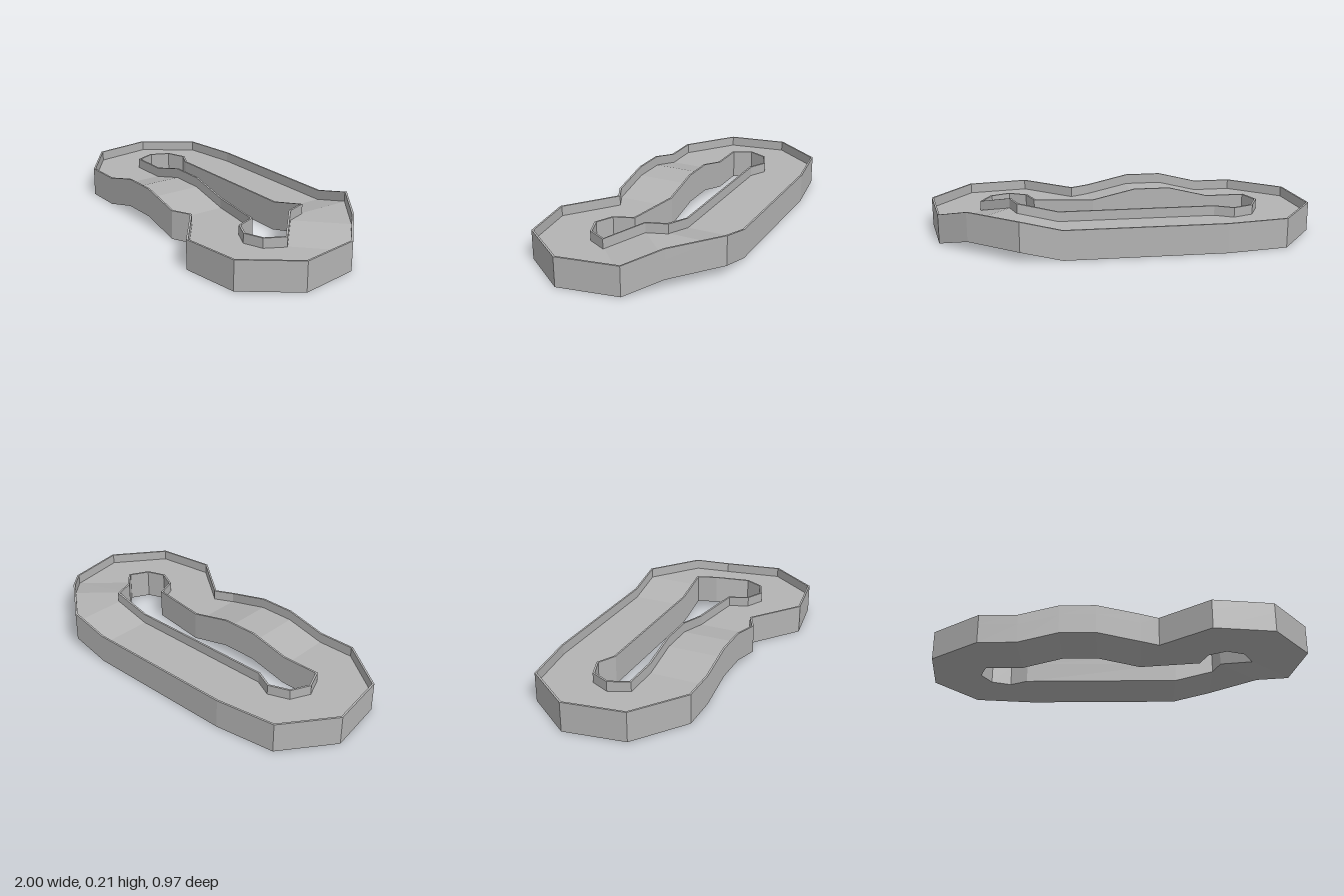
import * as THREE from 'three';

// Stations round the loop: outer x, z, inner x, z, lift (0 = on the ground, 1 = raised)
const STATIONS = [
  [-0.69, 0.335, -0.69, 0.018, 0],
  [-0.49, 0.335, -0.49, 0.018, 0],
  [-0.28, 0.335, -0.28, 0.018, 1],
  [-0.09, 0.335, -0.09, 0.018, 1],
  [0.135, 0.335, 0.135, 0.018, 0],
  [0.23, 0.288, 0.45, 0.062, 0],
  [0.485, 0.483, 0.49, 0.165, 0],
  [0.8, 0.44, 0.58, 0.208, 0],
  [1, 0.179, 0.675, 0.172, 0],
  [0.95, -0.142, 0.725, 0.078, 0],
  [0.8, -0.288, 0.575, -0.065, 1],
  [0.545, -0.483, 0.54, -0.167, 1],
  [0.335, -0.483, 0.335, -0.167, 0],
  [-0.49, -0.483, -0.49, -0.167, 0],
  [-0.805, -0.44, -0.585, -0.213, 0],
  [-1, -0.18, -0.685, -0.175, 0],
  [-0.955, 0.14, -0.73, -0.08, 0],
];
const FLOOR = 0.103, TOP = 0.155, LIFT = 0.052, RAIL = 0.01;

// Moves a closed path sideways by t with mitred corners
function offsetPath(path, t) {
  const n = path.length;
  const normal = (a, b) => new THREE.Vector2(b.y - a.y, a.x - b.x).normalize();
  return path.map((p, i) => {
    const n1 = normal(path[(i + n - 1) % n], p);
    const n2 = normal(p, path[(i + 1) % n]);
    const scale = t / (1 + n1.dot(n2));
    return p.clone().add(n1.add(n2).multiplyScalar(scale));
  });
}

// Joins edges [path, height] into a flat-faced ring following the lift
function sweep(name, edges, closed, material) {
  const n = STATIONS.length, pos = [];
  const put = (i, k) => {
    const [path, y] = edges[k % edges.length];
    const s = i % n;
    pos.push(path[s].x, y + STATIONS[s][4] * LIFT, path[s].y);
  };
  for (let i = 0; i < n; i++) {
    for (let k = 0; k < edges.length - (closed ? 0 : 1); k++) {
      put(i, k); put(i + 1, k); put(i + 1, k + 1);
      put(i, k); put(i + 1, k + 1); put(i, k + 1);
    }
  }
  const geo = new THREE.BufferGeometry();
  geo.setAttribute('position', new THREE.Float32BufferAttribute(pos, 3));
  geo.computeVertexNormals();
  const mesh = new THREE.Mesh(geo, material);
  mesh.name = name;
  return mesh;
}

export function createModel() {
  const group = new THREE.Group();
  group.name = 'raceTrack';
  const grey = new THREE.MeshStandardMaterial({ color: 0xb3b3b3 });
  grey.name = 'grey';

  const outer = STATIONS.map((s) => new THREE.Vector2(s[0], s[1]));
  const inner = STATIONS.map((s) => new THREE.Vector2(s[2], s[3]));
  const outerIn = offsetPath(outer, RAIL);
  const innerIn = offsetPath(inner, -RAIL);

  // Solid road bed, then a thin rail along each edge
  group.add(sweep('roadBed', [[outer, 0], [outer, FLOOR], [inner, FLOOR], [inner, 0]], true, grey));
  group.add(sweep('outerRail', [[outer, FLOOR], [outer, TOP], [outerIn, TOP], [outerIn, FLOOR]], false, grey));
  group.add(sweep('innerRail', [[innerIn, FLOOR], [innerIn, TOP], [inner, TOP], [inner, FLOOR]], false, grey));
  return group;
}
